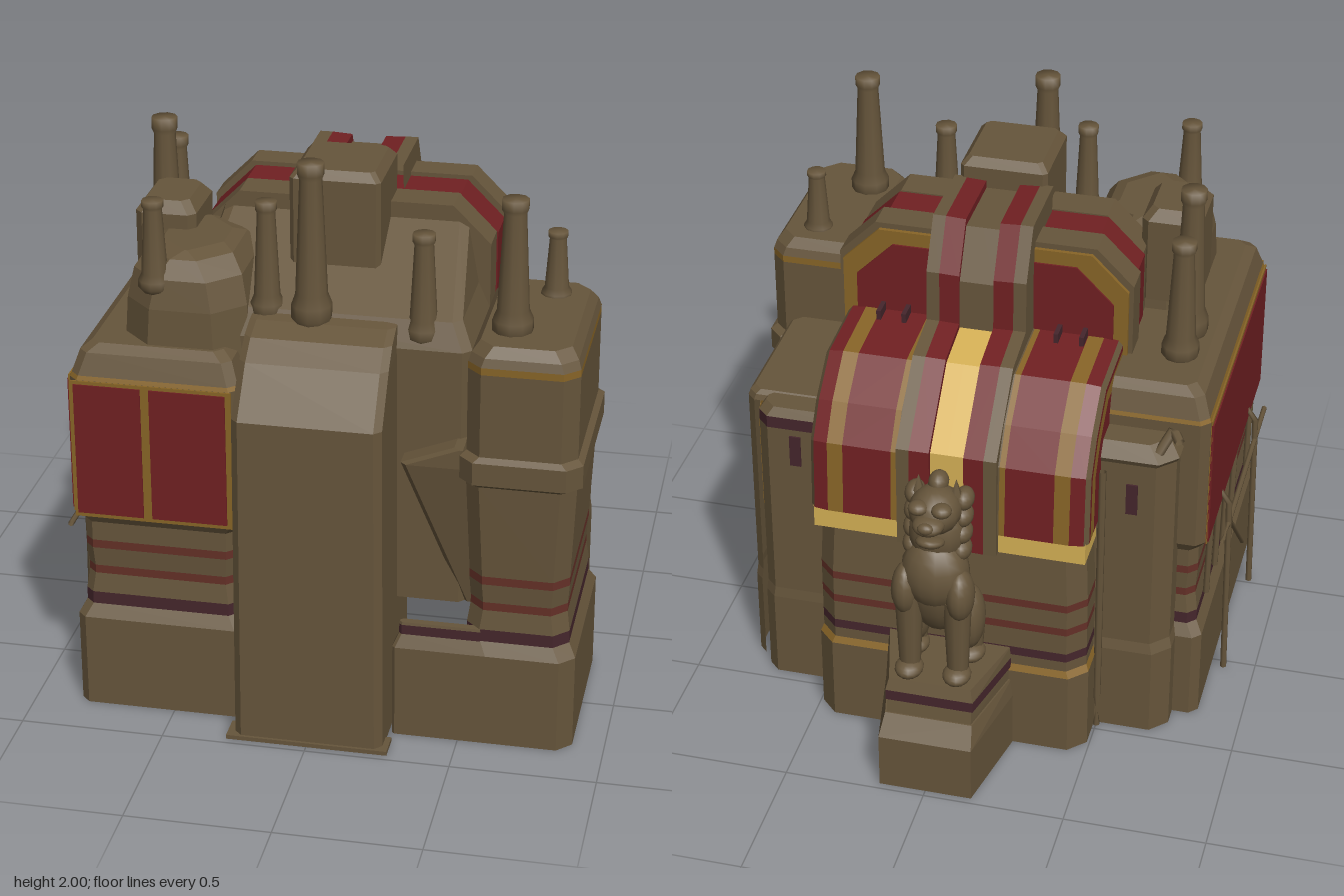
import * as THREE from 'three';

const mat = (name, color) => Object.assign(new THREE.MeshStandardMaterial({ color, side: THREE.DoubleSide }), { name });
const BROWN = mat('bronze brown', 0x66553b), RED = mat('crimson', 0x702022), TRIM = mat('worn gold trim', 0x886527),
  GOLD = mat('bright gold', 0xd5b055), DARK = mat('dark plum', 0x45262c), STRIPE = mat('faded red stripe', 0x643027);

export function createModel() {
  const model = new THREE.Group();
  const add = (name, geo, m = BROWN, pos = [0, 0, 0], parent = model) => {
    const mesh = new THREE.Mesh(geo, m);
    mesh.name = name;
    mesh.position.set(...pos);
    parent.add(mesh);
    return mesh;
  };
  const group = (name) => { const g = new THREE.Group(); g.name = name; model.add(g); return g; };
  const box = (name, x0, x1, y0, y1, z0, z1, m) => add(name, new THREE.BoxGeometry(x1 - x0, y1 - y0, z1 - z0), m,
    [(x0 + x1) / 2, (y0 + y1) / 2, (z0 + z1) / 2]);

  // Faceted skin between cross-sections of equal point count; skip omits sides by index
  const skin = (rings, closed, cap, skip = []) => {
    const out = [], n = rings[0].length;
    for (let r = 0; r + 1 < rings.length; r++) {
      const a = rings[r], b = rings[r + 1];
      for (let i = 0; i < (closed ? n : n - 1); i++) {
        if (skip.includes(i)) continue;
        const j = (i + 1) % n;
        out.push(...a[i], ...b[i], ...b[j], ...a[i], ...b[j], ...a[j]);
      }
    }
    const t = rings[rings.length - 1];
    if (cap) for (let i = 1; i + 1 < n; i++) out.push(...t[0], ...t[i + 1], ...t[i]);
    const g = new THREE.BufferGeometry();
    g.setAttribute('position', new THREE.Float32BufferAttribute(out, 3));
    g.computeVertexNormals();
    return g;
  };

  // Chamfered block; levels are [y, inset, colour above, left shift, front shift].
  // Sides 0 back, 2 +x, 4 front, 6 -x (odd: corners) listed in open are left out in the lower storeys
  const block = (name, x0, x1, z0, z1, c, levels, open = []) => {
    const g = group(name);
    const ring = ([y, d, , sx = 0, sz = 0]) => {
      const a = x0 + d + sx, b = x1 - d, e = z0 + d, f = z1 - d + sz;
      return [[a + c, y, e], [b - c, y, e], [b, y, e + c], [b, y, f - c], [b - c, y, f], [a + c, y, f], [a, y, f - c], [a, y, e + c]];
    };
    for (let i = 0; i + 1 < levels.length; i++)
      add(name + 'Band', skin([ring(levels[i]), ring(levels[i + 1])], true, i === levels.length - 2, levels[i][0] < 0.95 ? open : []),
        levels[i][2] || BROWN, [0, 0, 0], g);
  };
  // Plinth, stripes and wall shared by the lower storeys
  const lower = [[0, 0], [0.34, 0], [0.385, 0.025, DARK], [0.43, 0.025], [0.5, 0.035, STRIPE], [0.53, 0.035], [0.6, 0.03, STRIPE], [0.63, 0.03]];

  // Left tower: collar, upper storey, gilded edge
  block('leftTower', 0.49, 0.89, 0.15, 0.83, 0.05, [...lower, [0.97, 0.015], [0.985, -0.005], [1.065, -0.005],
    [1.08, 0.015], [1.375, 0.015, TRIM], [1.4, 0.015], [1.43, 0.025], [1.465, 0.05]], [6, 7]);
  block('leftPlinth', 0.27, 0.6, 0.76, 0.83, 0.01, [[0, 0], [0.34, 0], [0.385, 0.02, DARK], [0.42, 0.02], [0.43, 0.022]], [0, 1, 2, 3]);
  block('slopedPanel', 0.28, 0.54, 0.18, 0.76, 0.02, [[0.45, 0, null, 0.2, -0.1], [1.0, 0], [1.07, 0, null, 0.18]], [0, 1, 2, 3]);

  // Right hall with overhanging upper storey
  block('rightHall', -0.84, -0.25, -0.33, 0.83, 0.03, [...lower, [0.7, 0.03], [0.74, 0.005], [1.24, 0.005, TRIM],
    [1.255, 0.01], [1.33, 0.035], [1.355, 0.07]], [1, 2]);
  box('frontPanelTrim', -0.825, -0.275, 0.735, 1.24, 0.826, 0.832, TRIM);
  box('sidePanelTrim', -0.842, -0.836, 0.735, 1.245, -0.295, 0.795, TRIM);
  box('sidePanel', -0.847, -0.839, 0.745, 1.228, -0.295, 0.79, RED);
  box('sideLining', -0.832, -0.826, 0.75, 1.228, -0.28, 0.78, RED);
  [[-0.815, -0.585], [-0.555, -0.295]].forEach(([a, b]) => {
    box('frontPanel', a, b, 0.75, 1.228, 0.83, 0.837, RED);
    box('frontLining', a, b, 0.75, 1.228, 0.814, 0.82, RED);
  });

  // Right rooftop turret
  block('turret', -0.68, -0.25, 0.2, 0.75, 0.1, [[1.3, 0], [1.48, 0.01], [1.58, 0.03], [1.64, 0.07], [1.66, 0.11]]);
  block('turretCap', -0.69, -0.48, 0.19, 0.46, 0.025, [[1.4, 0], [1.71, 0], [1.75, 0.03]]);

  // Rear wings beside the back wall
  block('leftWing', 0.4, 0.805, -0.36, 0.18, 0.03, [[0, -0.005], [0.34, -0.005], [0.38, 0], [1.12, 0], [1.14, 0.006], [1.155, 0.02]], [0, 3, 4, 5, 6]);
  block('leftRearBay', 0.4, 0.74, -0.45, -0.3, 0.04, [[0, -0.005], [0.34, -0.005], [0.38, 0], [1.075, 0, DARK], [1.12, 0], [1.15, 0.02]], [4, 5, 6]);
  block('rightRearBay', -0.74, -0.4, -0.45, -0.1, 0.06, [[0, -0.01], [0.34, -0.01], [0.38, 0], [1.13, 0], [1.15, -0.01], [1.2, 0.03]], [2, 3, 4, 5]);
  for (const s of [-1, 1]) box('wingSlot', s * 0.6 - 0.02, s * 0.6 + 0.02, 0.93, 1.05, -0.457, -0.448, DARK);

  // Rounded window on the left wing
  const capsule = (name, r, y0, y1, x, m) => {
    const s = new THREE.Shape();
    s.absarc(0, y1 - r, r, 0, Math.PI);
    s.absarc(0, y0 + r, r, Math.PI, Math.PI * 2);
    const g = new THREE.ExtrudeGeometry(s, { depth: 0.009, bevelEnabled: false, curveSegments: 6 });
    add(name, g.rotateY(Math.PI / 2), m, [x, 0, -0.14]);
  };
  capsule('windowFrame', 0.095, 0.51, 1.05, 0.804, TRIM);
  capsule('windowPane', 0.066, 0.55, 1.01, 0.81, RED);

  // Back wall, core and roof slope
  block('backWall', -0.48, 0.48, -0.63, -0.36, 0.06, [[0, -0.01], [0.32, -0.01, TRIM], [0.345, 0], [0.385, 0, DARK], [0.42, 0],
    [0.5, 0, STRIPE], [0.53, 0], [0.6, 0, STRIPE], [0.63, 0], [0.84, 0.01]], [3, 4, 5]);
  block('core', -0.5, 0.5, 0.16, 0.67, 0.03, [[0.45, 0], [1.38, 0], [1.47, 0.04], [1.69, 0.08, null, 0, -0.33]], [0, 1, 2, 6, 7]);
  block('ridgeHood', -0.155, 0.155, 0.14, 0.46, 0.015, [[1.4, 0], [1.87, 0], [1.9, 0.025]]);

  // Front apron pillar curving back at the top
  block('frontPillar', -0.255, 0.26, 0.45, 0.965, 0.025, [[0, 0], [1.2, 0.006], [1.36, 0.008, null, 0, -0.12],
    [1.42, 0.01, null, 0, -0.19], [1.45, 0.012, null, 0, -0.27], [1.46, 0.03, null, 0, -0.32]], [0, 1, 7]);
  box('pillarFoot', -0.28, 0.28, 0, 0.015, 0.88, 0.975, BROWN);

  // Upper arch in thick slices
  const arch = (name, w, h, z0, z1, m) => {
    const s = new THREE.Shape([[-w, 1.1], [w, 1.1], [w, h - 0.13], [w - 0.13, h], [0.13 - w, h], [-w, h - 0.13]].map((p) => new THREE.Vector2(...p)));
    add(name, new THREE.ExtrudeGeometry(s, { depth: z1 - z0, bevelEnabled: false }), m, [0, 0, z0]);
  };
  arch('archRear', 0.52, 1.75, -0.11, 0, BROWN);
  arch('archRearTrim', 0.505, 1.73, -0.125, -0.11, TRIM);
  arch('archRed', 0.505, 1.735, 0, 0.145, RED);
  arch('archFront', 0.5, 1.74, 0.145, 0.27, BROWN);
  arch('archBackPanel', 0.455, 1.68, -0.132, -0.124, RED);

  // Strip following a (z, y) path between two x positions, scaled about a centre
  const strip = (name, path, [cz, cy], x0, s0, x1, s1, m) => {
    for (const k of [-1, 1]) {
      const row = (x, s) => path.map(([z, y]) => [k * x, cy + (y - cy) * s, cz + (z - cz) * s]);
      add(name, skin([row(x0, s0), row(x1, s1)], false, false), m);
    }
  };
  // Lower rear shell: striped top, bevelled edge, banded side
  const shell = [[-0.1, 1.42], [-0.41, 1.405], [-0.55, 1.29], [-0.63, 1.17], [-0.645, 0.9]], sc = [-0.1, 0.9];
  [[0.1, 1, 0.18, 1, BROWN], [0.18, 1, 0.2, 1, TRIM], [0.2, 1, 0.37, 1, RED], [0.37, 1, 0.425, 1, TRIM], [0.425, 1, 0.475, 0.985, RED],
    [0.475, 0.985, 0.49, 0.95, BROWN], [0.49, 0.95, 0.49, 0.91, RED], [0.49, 0.91, 0.49, 0.82, TRIM], [0.49, 0.82, 0.49, 0.3, RED]]
    .forEach(([a, sa, b, sb, m]) => strip('shell', shell, sc, a, sa, b, sb, m));
  for (const s of [-1, 1]) {
    box('goldEave', s * 0.325 - 0.155, s * 0.325 + 0.155, 0.82, 0.905, -0.632, -0.46, GOLD);
    // Narrow vents where shell meets arch
    [0.27, 0.36].forEach((x) => box('vent', s * x - 0.008, s * x + 0.008, 1.38, 1.45, -0.2, -0.13, DARK));
  }
  // Central spine: twin red ribs beside a gilded channel
  const spine = [[0.15, 1.82], [-0.14, 1.82], [-0.235, 1.65], [-0.24, 1.465], [-0.42, 1.43], [-0.65, 1.2], [-0.655, 0.82]], pc = [0, 0.82];
  [[0.175, 0.55, 0.175, 1.006, BROWN], [0.175, 1.006, 0.13, 1.006, BROWN], [0.13, 1.006, 0.06, 1.002, RED], [0.06, 1.002, 0.06, 0.975, RED]]
    .forEach(([a, sa, b, sb, m]) => strip('spineRib', spine, pc, a, sa, b, sb, m));
  strip('spineTop', spine.slice(0, 4), pc, 0, 0.975, 0.06, 0.975, BROWN);
  strip('spineChannel', spine.slice(3), pc, 0, 0.975, 0.06, 0.975, GOLD);

  // Chimneys: [x, z, base, top, thickness]
  [[-0.2, 0.6, 1.43, 1.84, 0.85], [-0.04, 0.64, 1.43, 2, 1.05], [0.33, 0.61, 1.39, 1.77, 0.9], [0.63, 0.63, 1.44, 1.92, 1.05],
    [0.73, 0.3, 1.44, 1.69, 0.8], [-0.56, 0.69, 1.53, 1.85, 0.85], [-0.68, 0.08, 1.34, 1.92, 1.05], [-0.68, -0.07, 1.34, 1.8, 1]].forEach(([x, z, a, b, t]) => {
    const prof = [[0.05, 0], [0.066, 0.05], [0.066, 0.13], [0.052, 0.2], [0.036, 0.9], [0.043, 0.93], [0.043, 1], [0, 1]];
    add('chimney', new THREE.LatheGeometry(prof.map(([r, y]) => new THREE.Vector2(r * t, y * (b - a))), 10), BROWN, [x, a, z]);
  });

  // Side pipework
  const pipes = group('pipework');
  const pipe = (r, ...pts) => add('pipe', new THREE.TubeGeometry(new THREE.CatmullRomCurve3(pts.map((p) => new THREE.Vector3(...p)), false, 'catmullrom', 0.1), 8, r, 6), BROWN, [0, 0, 0], pipes);
  pipe(0.01, [-0.875, 0.65, -0.15], [-0.875, 0.65, 0.74]);
  [-0.03, 0.52].forEach((z) => pipe(0.012, [-0.83, 0.8, z], [-0.87, 0.8, z], [-0.875, 0.65, z], [-0.885, 0, z]));
  pipe(0.009, [-0.875, 0.62, 0.02], [-0.875, 0.3, 0.35]);
  [-0.15, 0.02, 0.18, 0.34, 0.68].forEach((z) => pipe(0.012, [-0.83, 0.74, z], [-0.825, 0.42, z]));
  pipe(0.018, [-0.68, 1.17, -0.42], [-0.72, 1.24, -0.37], [-0.75, 1.22, -0.41]);
  pipe(0.014, [-0.5, 0, -0.47], [-0.5, 1.1, -0.47]);

  // Stepped statue plinth
  const trap = (y, w0, w1, z1) => [[-w0, y, -0.6], [w0, y, -0.6], [w1, y, z1], [-w1, y, z1]];
  add('plinthStep', skin([trap(0, 0.24, 0.165, -0.975), trap(0.21, 0.24, 0.165, -0.975), trap(0.28, 0.23, 0.155, -0.92)], true, true, [0]));
  add('plinthBody', skin([trap(0.28, 0.225, 0.15, -0.915), trap(0.335, 0.225, 0.15, -0.905)], true, true, [0]));
  add('plinthTrim', skin([trap(0.33, 0.23, 0.155, -0.91), trap(0.37, 0.23, 0.155, -0.91)], true, true, [0]), DARK);
  add('plinthTop', skin([trap(0.37, 0.23, 0.155, -0.91), trap(0.415, 0.225, 0.145, -0.895)], true, true, [0]));

  // Seated guardian beast facing the rear
  const beast = group('guardianStatue');
  const blob = (name, x, y, z, rx, ry, rz, tilt = 0) => {
    const m = add(name, new THREE.SphereGeometry(1, 14, 10), BROWN, [x, y, z], beast);
    m.scale.set(rx, ry, rz);
    m.rotation.x = tilt;
  };
  blob('torso', 0, 0.76, -0.77, 0.115, 0.21, 0.11, -0.2);
  blob('chest', 0, 0.83, -0.8, 0.12, 0.14, 0.105);
  blob('neck', 0, 0.98, -0.765, 0.1, 0.13, 0.095);
  blob('head', 0, 1.08, -0.79, 0.09, 0.085, 0.1);
  blob('muzzle', 0, 1.075, -0.88, 0.055, 0.032, 0.055);
  blob('nose', 0, 1.085, -0.92, 0.028, 0.02, 0.02);
  blob('jaw', 0, 0.995, -0.86, 0.05, 0.022, 0.055, 0.3);
  blob('tail', 0, 0.64, -0.67, 0.05, 0.13, 0.04);
  for (const s of [-1, 1]) {
    blob('haunch', s * 0.095, 0.59, -0.71, 0.055, 0.13, 0.075);
    blob('shoulder', s * 0.095, 0.77, -0.835, 0.05, 0.1, 0.07);
    add('foreleg', new THREE.CylinderGeometry(0.05, 0.036, 0.32, 10), BROWN, [s * 0.085, 0.59, -0.835], beast);
    add('hindleg', new THREE.CylinderGeometry(0.045, 0.034, 0.15, 10), BROWN, [s * 0.1, 0.49, -0.69], beast);
    blob('forepaw', s * 0.085, 0.44, -0.85, 0.05, 0.033, 0.06);
    blob('hindpaw', s * 0.1, 0.44, -0.71, 0.05, 0.033, 0.06);
    blob('brow', s * 0.04, 1.125, -0.86, 0.035, 0.024, 0.035);
    add('ear', new THREE.ConeGeometry(0.025, 0.08, 6), BROWN, [s * 0.065, 1.15, -0.76], beast);
    for (let i = 0; i < 4; i++) blob('maneCurl', s * 0.085, 1.1 - i * 0.06, -0.735 - 0.012 * i, 0.035, 0.04, 0.05);
  }
  for (let i = 0; i < 4; i++) blob('crest', 0, 1.16 - i * 0.06, -0.745 + i * 0.014, 0.035, 0.04, 0.045);
  return model;
}
